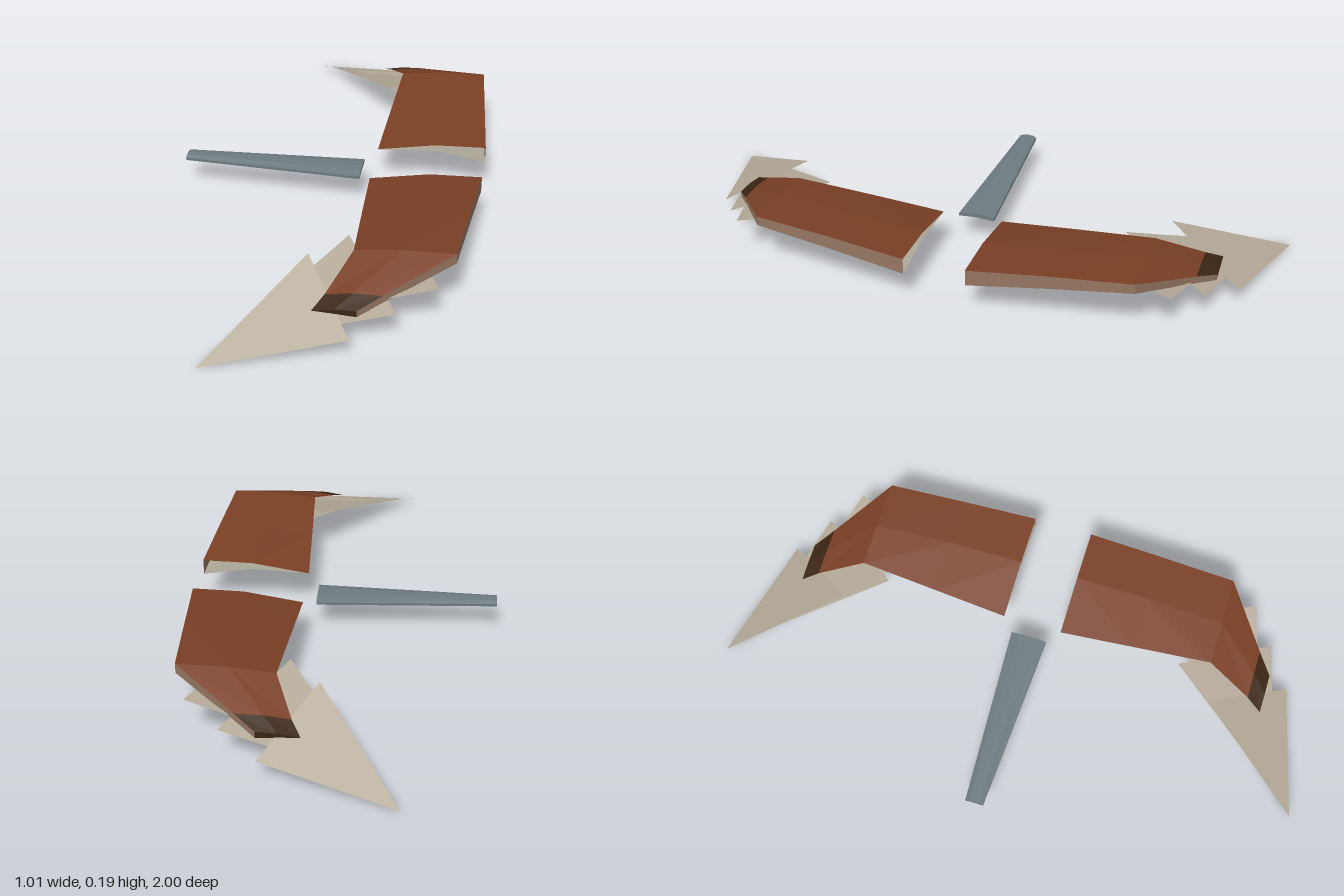
import * as THREE from 'three';

const mat = (name, color) => {
  const m = new THREE.MeshStandardMaterial({ color, side: THREE.DoubleSide, flatShading: true });
  m.name = name;
  return m;
};

// Skin a sequence of equally long point rows
function loft(rows) {
  const pos = rows.flat(2), idx = [], n = rows[0].length;
  for (let r = 0; r + 1 < rows.length; r++)
    for (let i = 0; i + 1 < n; i++) {
      const a = r * n + i, b = a + n;
      idx.push(a, b, a + 1, a + 1, b, b + 1);
    }
  const g = new THREE.BufferGeometry();
  g.setAttribute('position', new THREE.Float32BufferAttribute(pos, 3));
  g.setIndex(idx);
  const flat = g.toNonIndexed();
  flat.computeVertexNormals();
  return flat;
}

export function createModel() {
  const model = new THREE.Group();
  model.name = 'wingsAndTail';
  const brown = mat('wing brown', 0x7a3f25);
  const dark = mat('wing tip dark brown', 0x3a2511);
  const edge = mat('leading edge tan', 0x957662);
  const under = mat('underside grey cream', 0xaaa495);
  const cream = mat('feather cream', 0xb5aa99);
  const slate = mat('tail slate', 0x6d7b81);
  const add = (parent, name, geo, material) => {
    const m = new THREE.Mesh(geo, material);
    m.name = name;
    parent.add(m);
  };

  // Wing stations: z, then [x, y] of trailing edge, crown, leading top, and y of hollow and leading bottom
  const stations = [
    [0.10, [0.135, 0.127], [0.33, 0.160], [0.50, 0.165], 0.138, 0.112],
    [0.35, [0.147, 0.153], [0.32, 0.178], [0.48, 0.184], 0.153, 0.140],
    [0.61, [0.160, 0.178], [0.30, 0.193], [0.46, 0.197], 0.170, 0.165],
    [0.76, [0.100, 0.120], [0.18, 0.132], [0.265, 0.133], 0.114, 0.109],
    [0.813, [0.070, 0.097], [0.135, 0.108], [0.20, 0.110], 0.094, 0.090],
  ];

  // Feather triangles: outer tip, leading corner, rear corner
  const feathers = [
    [[-0.22, 0.002, 1.0], [0.19, 0.06, 0.883], [0.03, 0.171, 0.637]],
    [[-0.16, 0.035, 0.927], [0.31, 0.10, 0.795], [0.13, 0.163, 0.508]],
    [[-0.04, 0.07, 0.84], [0.42, 0.14, 0.71], [0.27, 0.148, 0.39]],
  ];

  for (const s of [1, -1]) {
    const wing = new THREE.Group();
    wing.name = s > 0 ? 'frontWing' : 'backWing';
    const top = [], front = [], bottom = [];
    for (const [z, tr, cr, le, hollow, low] of stations) {
      const p = (x, y) => [x, y, z * s];
      top.push([p(...tr), p(...cr), p(...le)]);
      front.push([p(...le), p(le[0], low)]);
      bottom.push([p(...tr), p(cr[0], hollow), p(le[0], low)]);
    }
    add(wing, 'wingTop', loft(top.slice(0, 4)), brown);
    add(wing, 'wingTipTop', loft(top.slice(3)), dark);
    add(wing, 'leadingEdge', loft(front), edge);
    add(wing, 'wingUnderside', loft(bottom), under);
    add(wing, 'wingTipEnd', loft([top[4], bottom[4]]), dark);

    // Long feathers fanned under the tip
    for (const f of feathers) {
      const g = new THREE.BufferGeometry().setFromPoints(
        f.map(([x, y, z]) => new THREE.Vector3(x, y, z * s)));
      g.computeVertexNormals();
      add(wing, 'tipFeather', g, cream);
    }
    model.add(wing);
  }

  // Tapered, slightly arched tail bar
  const section = (x, w) => [
    [x, 0.097, -w], [x, 0.106, -w], [x, 0.112, -w / 2], [x, 0.113, 0], [x, 0.112, w / 2],
    [x, 0.106, w], [x, 0.097, w], [x, 0.101, 0], [x, 0.097, -w]];
  const a = section(-0.507, 0.03), b = section(0.095, 0.061);
  const center = x => a.map(() => [x, 0.106, 0]);
  add(model, 'tail', loft([center(-0.507), a, b, center(0.095)]), slate);
  return model;
}
